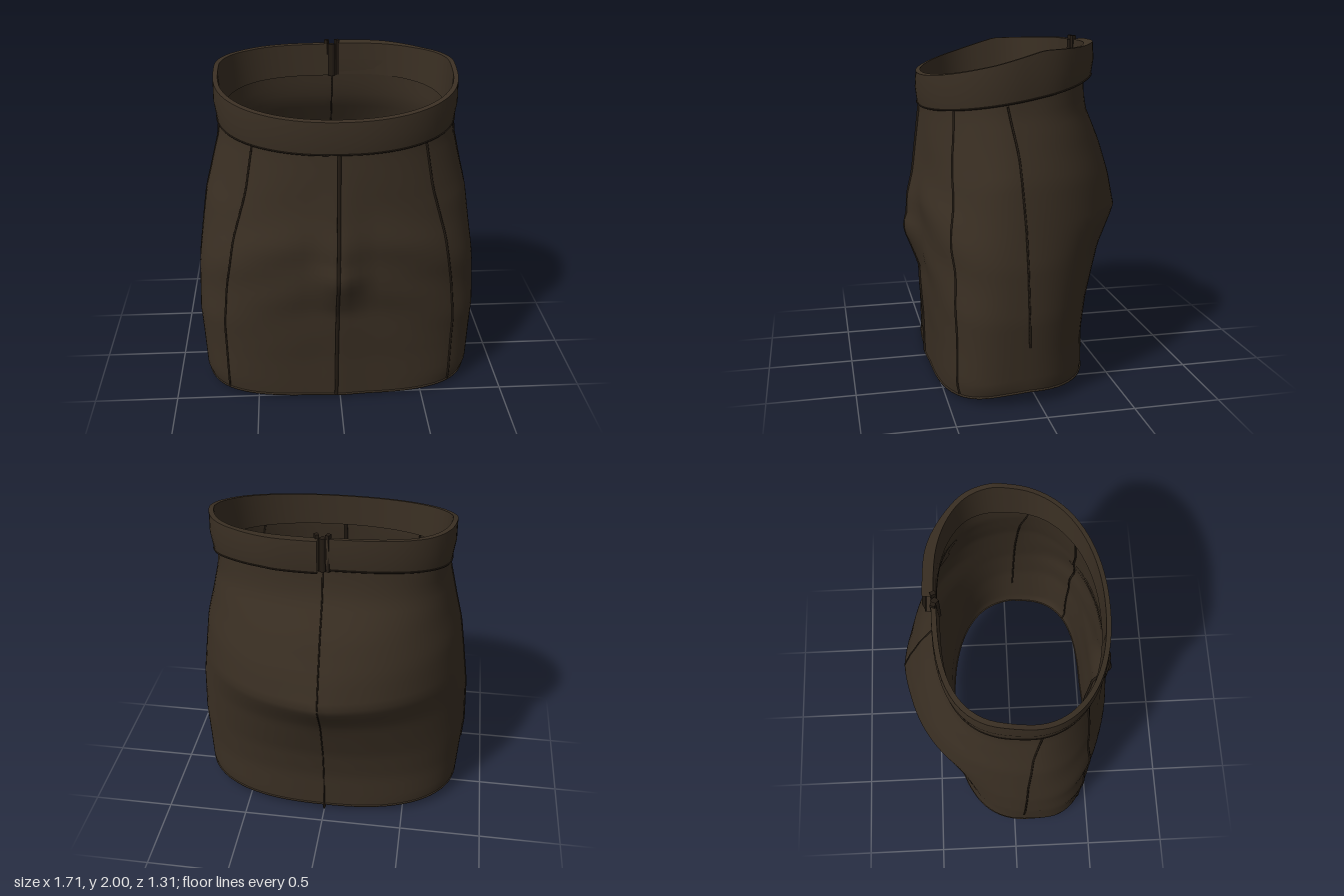
import * as THREE from 'three';
import { toCreasedNormals } from 'three/addons/utils/BufferGeometryUtils.js';
import { ParametricGeometry } from 'three/addons/geometries/ParametricGeometry.js';

// Linear lookup in a short list of [key, value] pairs, keys rising
function lookup(table, k) {
  if (k <= table[0][0]) return table[0][1];
  for (let i = 1; i < table.length; i++) {
    const [k0, v0] = table[i - 1], [k1, v1] = table[i];
    if (k <= k1) return v0 + (v1 - v0) * (k - k0) / (k1 - k0);
  }
  return table[table.length - 1][1];
}

// Body profile by height
const WIDTH = [[0.03, 0.8], [0.1, 0.83], [0.5, 0.853], [0.8, 0.84], [1.05, 0.805], [1.25, 0.775], [1.4, 0.735], [1.6, 0.685], [1.7, 0.675]];
const FRONT = [[0.02, 0.525], [0.28, 0.53], [0.5, 0.545], [0.63, 0.55], [0.87, 0.58], [1.05, 0.585], [1.2, 0.57], [1.4, 0.555], [1.6, 0.54]];
const RIDGE = [[0.6, 0.01], [0.75, 0.05], [0.82, 0.07], [0.88, 0.073], [0.94, 0.05], [1.05, 0.042], [1.2, 0.02], [1.4, 0.01], [1.6, 0]];
const BACK = [[0.05, -0.395], [0.3, -0.4], [0.5, -0.435], [0.8, -0.53], [1, -0.64], [1.2, -0.59], [1.4, -0.52], [1.6, -0.42], [1.68, -0.4], [1.8, -0.39]];
const BACK_ROUND = [[0.1, 2.5], [0.6, 2.2], [1, 2], [1.4, 2.3], [1.7, 2.9]];
const FRONT_ROUND = [[0.1, 3.3], [0.5, 2.95], [0.75, 2.65], [1.05, 2.3], [1.3, 2.05], [1.7, 2]];
// Edge heights by depth
const HEM = [[-0.4, 0.05], [-0.2, 0.073], [0.05, 0.085], [0.2, 0.07], [0.4, 0.035], [0.53, 0.02]];
const BAND_BOTTOM = [[-0.42, 1.79], [-0.1, 1.715], [0.05, 1.685], [0.54, 1.6]];
const BAND_TOP = [[-0.46, 1.985], [-0.3, 1.965], [-0.05, 1.955], [0.2, 1.88], [0.55, 1.79]];
const MIDDLE = 0.1;

// Centre ridges and shallow creases, as a shift in z
function relief(x, y, front) {
  if (!front) return -0.015 * Math.max(0, 1 - Math.abs(x) / 0.2) * Math.max(0, 1 - Math.abs(y - 1) / 0.3);
  const crease = 0.007 * Math.sin(y * 17 + Math.abs(x) * 7) * Math.exp(-(((y - 0.9) / 0.4) ** 2));
  return lookup(RIDGE, y) * Math.max(0, 1 - Math.abs(x) / 0.16) + crease * Math.min(1, Math.abs(x) * 4);
}

// Rounded oval with separate front and back depths
function oval(a, w, f, b, nf, nb, mid) {
  const s = Math.sin(a), c = Math.cos(a), n = c > 0 ? nf : nb;
  const r = (Math.abs(s) ** n + Math.abs(c) ** n) ** (-1 / n);
  return [w * s * r, mid + (c > 0 ? f - mid : mid - b) * c * r];
}

function bodySection(a, y) {
  const [x, z] = oval(a, lookup(WIDTH, y), lookup(FRONT, y), lookup(BACK, y),
    lookup(FRONT_ROUND, y), lookup(BACK_ROUND, y), MIDDLE);
  return [x, z + relief(x, y, Math.cos(a) > 0)];
}

function bodyPoint(a, t, target = new THREE.Vector3()) {
  const low = lookup(HEM, bodySection(a, 0.05)[1]);
  const high = lookup(BAND_BOTTOM, bodySection(a, 1.7)[1]) + 0.09;
  const y = low + (high - low) * t;
  const [x, z] = bodySection(a, y);
  return target.set(x, y, z);
}

// Point on the body at a given x and height
function pointAtX(x, y, front) {
  const n = lookup(front ? FRONT_ROUND : BACK_ROUND, y), end = lookup(front ? FRONT : BACK, y);
  const k = (1 - Math.min(1, Math.abs(x) / lookup(WIDTH, y)) ** n) ** (1 / n);
  return new THREE.Vector3(x, y, MIDDLE + (end - MIDDLE) * k + relief(x, y, front));
}

// Waistband section; the left end laps outward at the back opening, lower edge tucked in
function bandPoint(a, off, h, target = new THREE.Vector3()) {
  const lap = 0.045 * THREE.MathUtils.smoothstep(a, 2.3, 2.8) * (off < -0.01 ? 0.3 : 1);
  const [x, z] = oval(a, 0.69 + off + 0.01 * h, 0.545 + off, -0.405 - lap - off, 2.15, 2.8, 0.06);
  const low = lookup(BAND_BOTTOM, z), high = lookup(BAND_TOP, z);
  return target.set(x, low + (high - low) * h, z);
}

export function createModel() {
  const cloth = new THREE.MeshStandardMaterial({ color: 0x3a2f23, side: THREE.DoubleSide });
  cloth.name = 'dark brown cloth';
  const thread = new THREE.MeshStandardMaterial({ color: 0x241c14, side: THREE.DoubleSide });
  thread.name = 'dark seam';
  const group = new THREE.Group();
  group.name = 'skirt';

  function add(name, geometry, material) {
    const mesh = new THREE.Mesh(geometry, material);
    mesh.name = name;
    group.add(mesh);
    return mesh;
  }
  function cord(name, points, radius, material, closed = false) {
    const curve = new THREE.CatmullRomCurve3(points, closed);
    add(name, new THREE.TubeGeometry(curve, points.length * 3, radius, 5, closed), material);
  }
  const steps = (n, fn) => Array.from({ length: n + 1 }, (_, i) => fn(i / n));

  // Skirt body
  const body = new ParametricGeometry((u, v, p) => bodyPoint((u * 2 - 1) * Math.PI, v, p), 96, 40);
  body.computeVertexNormals();
  add('body', body, cloth);

  // Waistband, a thick strip open at the back
  const profile = [[0, 0], [0.012, 0.5], [0.005, 1], [-0.022, 1], [-0.028, 0], [0, 0]];
  const band = new ParametricGeometry((u, v, p) => {
    const [off, h] = profile[Math.round(v * 5)];
    bandPoint((u * 2 - 1) * (Math.PI - 0.03), off, h, p);
  }, 88, 5);
  add('waistband', toCreasedNormals(band, 0.7), cloth);

  // Hem roll and the stitch line under the waistband
  const around = (n, fn) => steps(n - 1, t => fn(((t * (n - 1)) / n * 2 - 1) * Math.PI));
  cord('hem', around(72, a => bodyPoint(a, 0)), 0.007, cloth, true);
  cord('waistSeam', steps(72, t => bandPoint((t * 2 - 1) * (Math.PI - 0.03), 0.001, 0.02)), 0.005, thread);

  // Centre front and centre back seams
  cord('frontCentreSeam', steps(30, t => pointAtX(-0.01 - 0.015 * (1 - t), 0.02 + 1.58 * t, true)), 0.012, thread);
  cord('backCentreSeam', steps(30, t => pointAtX(0, 0.03 + 1.75 * t, false)), 0.005, thread);

  // Curved front panel seams and side seams, mirrored
  const PANEL = [[0.04, 0.68], [0.5, 0.688], [0.75, 0.665], [1.05, 0.615], [1.35, 0.53], [1.62, 0.485]];
  const SIDE = [[0.35, 0.06], [1, 0.075], [1.4, 0.1], [1.66, 0.15]];
  for (const side of [1, -1]) {
    const label = side > 0 ? 'left' : 'right';
    cord(label + 'PanelSeam', steps(26, t => pointAtX(side * lookup(PANEL, 0.04 + 1.58 * t), 0.04 + 1.58 * t, true)), 0.007, thread);
    cord(label + 'SideSeam', steps(18, t => {
      const y = 0.35 + 1.31 * t, z = lookup(SIDE, y);
      return new THREE.Vector3(side * lookup(WIDTH, y) * 0.999, y, z);
    }), 0.006, thread);
  }

  // Back zip: a folded tape with its ridge inward, and a lip on each side
  const zip = add('zipTape', new THREE.CylinderGeometry(0.022, 0.022, 0.2, 4), thread);
  zip.position.set(0, 1.875, -0.39);
  for (const side of [1, -1]) {
    const lip = add(side > 0 ? 'leftZipLip' : 'rightZipLip', new THREE.BoxGeometry(0.022, 0.22, 0.028), thread);
    lip.position.set(side * 0.032, 1.89, -0.398);
    lip.rotation.y = side * 0.4;
  }
  // Loose tip of the back seam at the hem
  const tip = add('seamTip', new THREE.SphereGeometry(0.02, 8, 6), thread);
  tip.scale.set(0.5, 1.5, 0.9);
  tip.position.set(0, 0.035, -0.392);

  return group;
}
